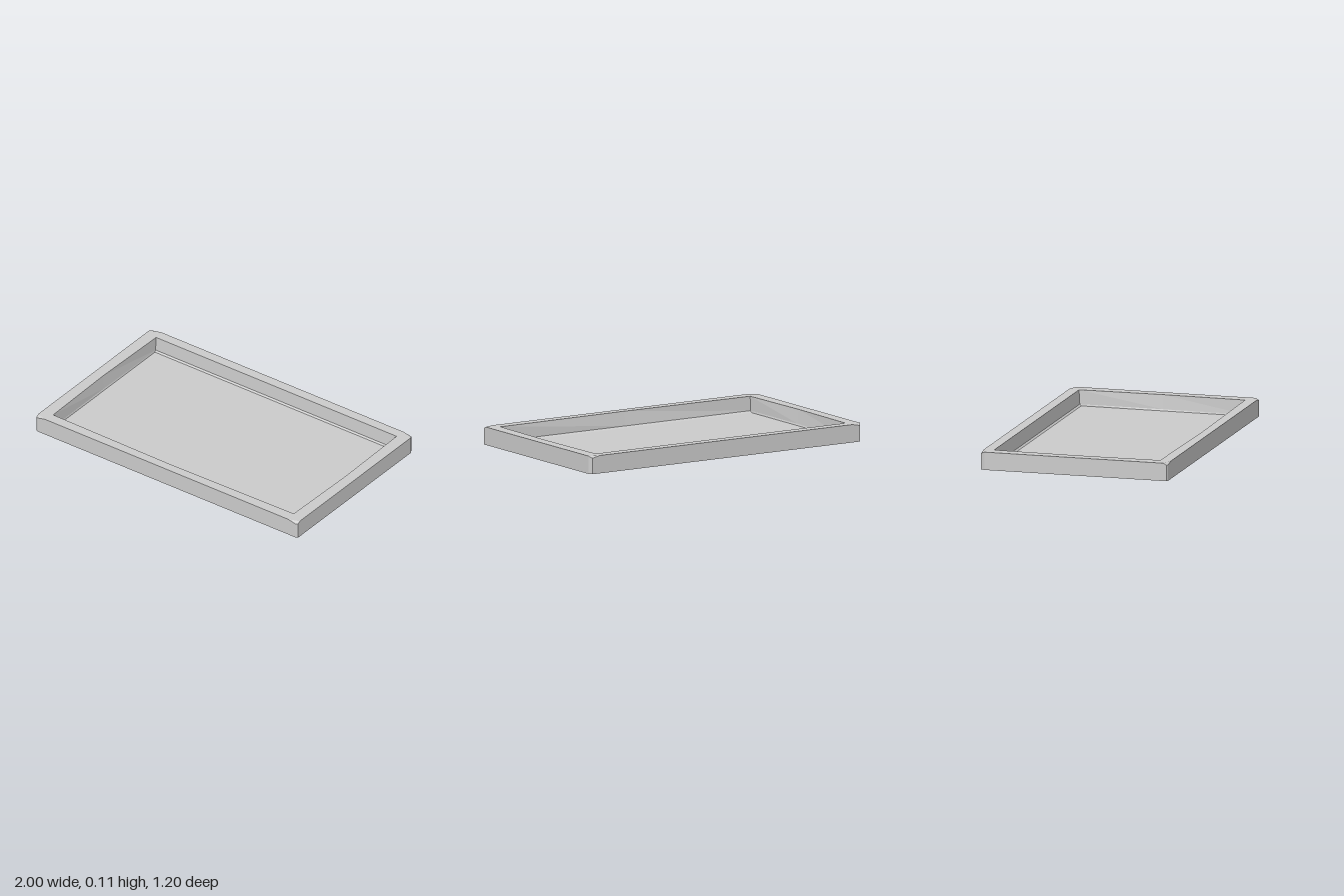
import * as THREE from 'three';

const TOP = 0.112, LOW = 0.1, FLOOR = 0.012;
const V = (x, y, z) => new THREE.Vector3(x, y, z);

// Flat-shaded mesh from a list of convex polygons
function facets(name, polygons) {
  const pos = [];
  for (const p of polygons)
    for (let i = 1; i < p.length - 1; i++)
      for (const v of [p[0], p[i], p[i + 1]]) pos.push(v.x, v.y, v.z);
  const g = new THREE.BufferGeometry();
  g.setAttribute('position', new THREE.Float32BufferAttribute(pos, 3));
  g.computeVertexNormals();
  return named(name, g);
}

function named(name, geometry) {
  const mesh = new THREE.Mesh(geometry,
    new THREE.MeshStandardMaterial({ color: 0xcccccc, flatShading: true }));
  mesh.name = name;
  return mesh;
}

// Quads joining two rings with the same number of points
const bridge = (a, b) => a.map((p, i) => {
  const j = (i + 1) % a.length;
  return [p, b[i], b[j], a[j]];
});

// One cut corner: its upper edge drops slightly toward the tip
function corner(sx, sz) {
  const pts = [V(sx, TOP, sz * 0.575)];
  if (sz > 0) pts.push(V(sx, LOW, sz * 0.594));
  pts.push(V(sx * 0.986, LOW, sz * 0.6), V(sx * 0.93, TOP, sz * 0.6));
  return sx * sz > 0 ? pts : pts.reverse();
}

// Inner outline: four corners plus slightly bowed side midpoints
function innerRing(y, x, back, front, bowX, bowFront) {
  return [V(x + bowX, y, 0), V(x, y, front), V(0, y, front + bowFront), V(-x, y, front),
    V(-x - bowX, y, 0), V(-x, y, -back), V(0, y, -back), V(x, y, -back)];
}

export function createModel() {
  const group = new THREE.Group();
  group.name = 'tray';

  // Outer walls and underside
  const corners = [[1, 1], [-1, 1], [-1, -1], [1, -1]].map(([x, z]) => corner(x, z));
  const upper = corners.flat();
  const base = upper.map(p => V(p.x, 0, p.z));
  group.add(facets('outerWalls', bridge(base, upper)));
  group.add(facets('underside', [base]));

  // Small sloping facets on the corners
  group.add(facets('cornerBevels', corners.map(c => [c[0], ...c.slice(1).reverse()])));

  // Recess with a narrow sloping foot around the floor
  const rim = innerRing(TOP, 0.92, 0.535, 0.53, 0.01, 0.012);
  const foot = innerRing(0.022, 0.92, 0.53, 0.528, 0.002, 0);
  const floor = innerRing(FLOOR, 0.918, 0.52, 0.513, 0, 0);
  group.add(facets('innerWalls', [...bridge(rim, foot), ...bridge(foot, floor)]));
  group.add(facets('floor', [[...floor].reverse()]));

  // Flat rim around the recess
  const flat = ring => ring.map(p => new THREE.Vector2(p.x, -p.z));
  const shape = new THREE.Shape(flat(corners.flatMap(c => [c[0], c[c.length - 1]])));
  shape.holes.push(new THREE.Path(flat(rim)));
  const rimGeometry = new THREE.ShapeGeometry(shape).rotateX(-Math.PI / 2).translate(0, TOP, 0);
  group.add(named('rim', rimGeometry));

  return group;
}
